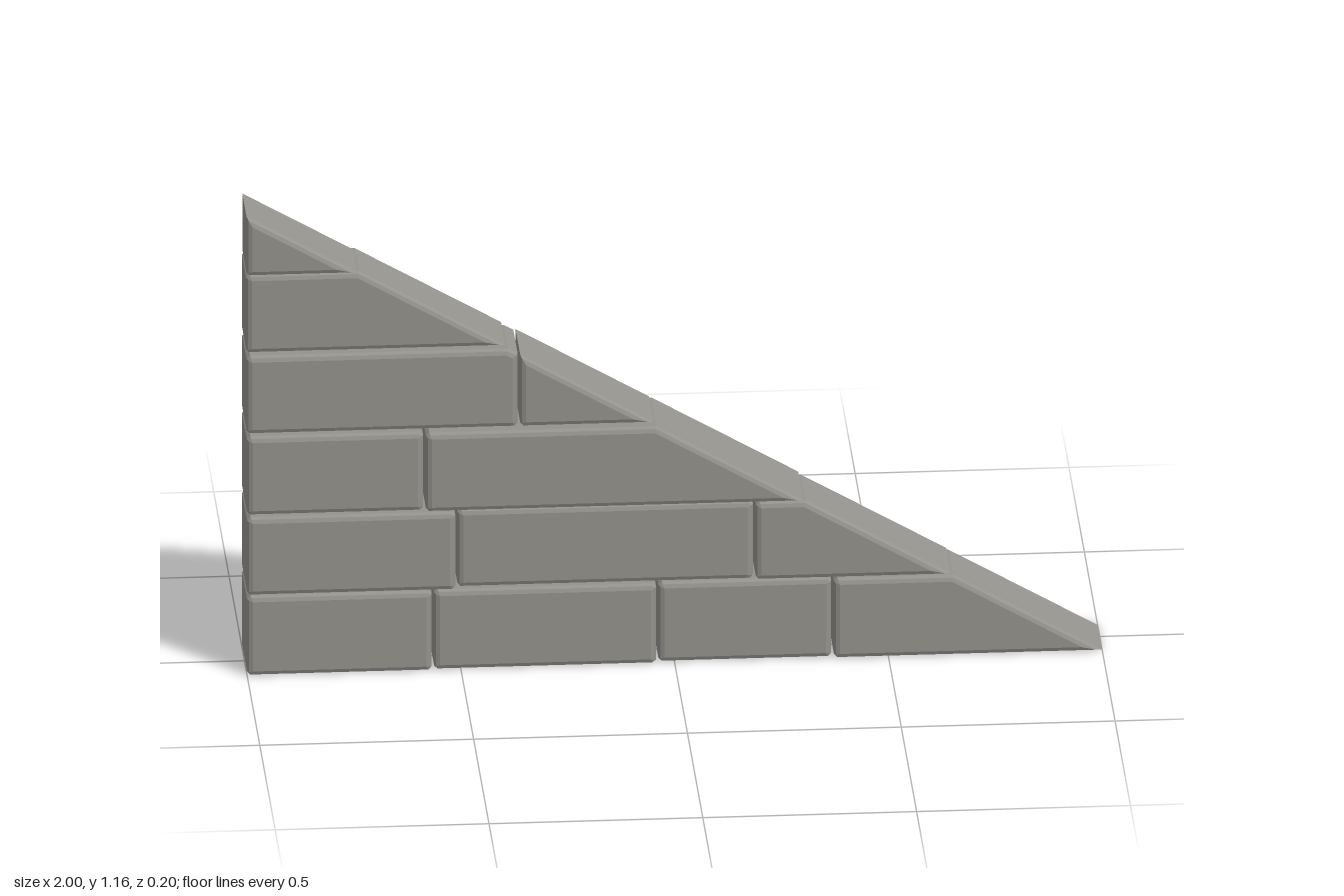
import * as THREE from 'three';

const stone = new THREE.MeshStandardMaterial({ color: 0x94928c });
stone.name = 'grey stone';

const RISE = 1.157 / 2;                 // slope of the gable edge
const BEVEL = 0.013, CHAMFER = 0.008, GAP = 0.003;
const heightAt = (x) => RISE * (1 - x);
const slopeX = (y) => 1 - y / RISE;

// Courses from the bottom up: [y0, y1, bricks of [x0, x1, zBack, zFront]]
const courses = [
  [0, 0.203, [[-1, -0.565, -0.09, 0.095], [-0.565, -0.04, -0.085, 0.09], [-0.04, 0.37, -0.095, 0.082], [0.37, 1, -0.082, 0.09]]],
  [0.203, 0.403, [[-1, -0.51, -0.09, 0.098], [-0.51, 0.187, -0.097, 0.082], [0.187, 1, -0.086, 0.09]]],
  [0.403, 0.605, [[-1, -0.585, -0.092, 0.09], [-0.585, 1, -0.097, 0.099]]],
  [0.605, 0.805, [[-1, -0.363, -0.085, 0.08], [-0.363, 1, -0.097, 0.08]]],
  [0.805, 1.006, [[-1, 1, -0.095, 0.066]]],
  [1.006, 1.157, [[-1, 1, -0.082, 0.08]]],
];

// Counter-clockwise brick outline, cut by the slope
function outline(x0, x1, y0, y1) {
  const pts = [[x0, y0]];
  if (x1 < slopeX(y0)) pts.push([x1, y0], [x1, Math.min(y1, heightAt(x1))]);
  else pts.push([slopeX(y0), y0]);
  const sx = slopeX(y1);
  if (sx <= x0 + 0.005) pts.push([x0, heightAt(x0)]);
  else {
    if (sx < x1) pts.push([sx, y1]);
    pts.push([x0, y1]);
  }
  return pts;
}

const unit = (a, b) => {
  const l = Math.hypot(b[0] - a[0], b[1] - a[1]);
  return [(b[0] - a[0]) / l, (b[1] - a[1]) / l];
};

// Clip the square corners, leave the sloped ones sharp
function chamfer(pts) {
  return pts.flatMap((p, i) => {
    const u = unit(p, pts.at(i - 1)), v = unit(p, pts[(i + 1) % pts.length]);
    if (Math.abs(u[0] * v[0] + u[1] * v[1]) > 0.01) return [p];
    return [u, v].map((d) => [p[0] + d[0] * CHAMFER, p[1] + d[1] * CHAMFER]);
  });
}

// Move every edge inward by d with mitred corners
function inset(pts, d) {
  return pts.map((p, i) => {
    const a = unit(pts.at(i - 1), p), b = unit(p, pts[(i + 1) % pts.length]);
    const k = d / (1 + a[0] * b[0] + a[1] * b[1]);
    return [p[0] - (a[1] + b[1]) * k, p[1] + (a[0] + b[0]) * k];
  });
}

// Stack of cross-sections from back to front, closed with fans
function brickGeometry(pts, zBack, zFront) {
  const shape = chamfer(pts), n = shape.length;
  const steps = [[1, 0], [0.3, 0.3], [0, 1]];
  const rings = [
    ...steps.map(([i, z]) => [i, zBack + z * BEVEL]),
    ...steps.map(([i, z]) => [i, zFront - z * BEVEL]).reverse(),
  ].map(([i, z]) => inset(shape, i * BEVEL).map(([x, y]) => [x, y, z]));
  const verts = [];
  const tri = (a, b, c) => verts.push(...a, ...b, ...c);
  for (let r = 0; r < rings.length - 1; r++) {
    for (let i = 0; i < n; i++) {
      const j = (i + 1) % n, lo = rings[r], hi = rings[r + 1];
      tri(lo[i], lo[j], hi[j]);
      tri(lo[i], hi[j], hi[i]);
    }
  }
  const back = rings[0], front = rings.at(-1);
  for (let i = 1; i < n - 1; i++) {
    tri(front[0], front[i], front[i + 1]);
    tri(back[0], back[i + 1], back[i]);
  }
  const geo = new THREE.BufferGeometry();
  geo.setAttribute('position', new THREE.Float32BufferAttribute(verts, 3));
  geo.computeVertexNormals();
  return geo;
}

export function createModel() {
  const model = new THREE.Group();
  model.name = 'gableWall';
  courses.forEach(([y0, y1, bricks], row) => {
    const course = new THREE.Group();
    course.name = `course${row + 1}`;
    bricks.forEach(([x0, x1, zBack, zFront], i) => {
      // Narrow joints between neighbouring bricks
      const pts = outline(
        x0 > -1 ? x0 + GAP : x0, x1 < 1 ? x1 - GAP : x1,
        row ? y0 + GAP / 2 : y0, row < courses.length - 1 ? y1 - GAP / 2 : y1);
      const brick = new THREE.Mesh(brickGeometry(pts, zBack, zFront), stone);
      brick.name = `brick${row + 1}_${i + 1}`;
      course.add(brick);
    });
    model.add(course);
  });
  return model;
}
